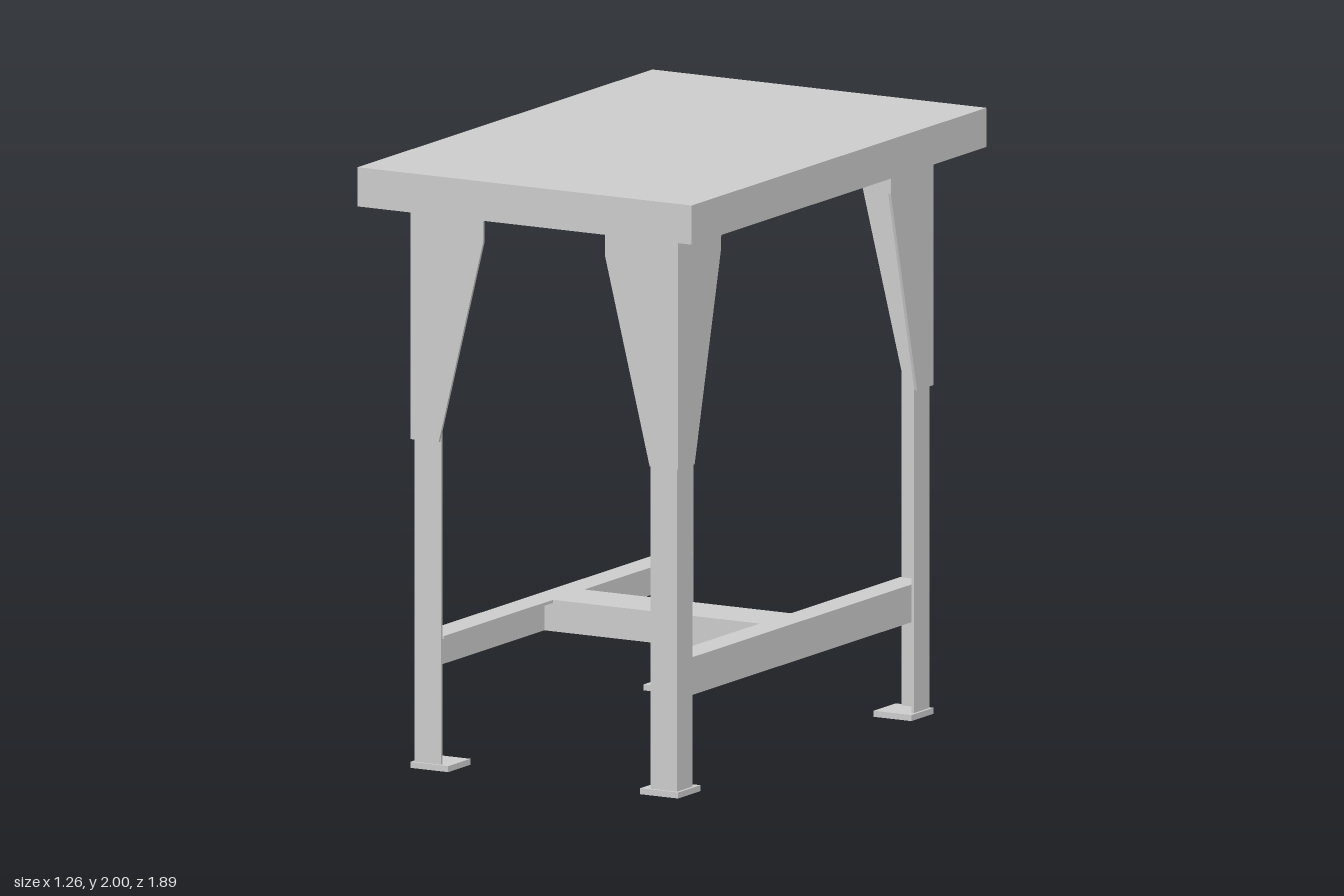
import * as THREE from 'three';

const T = 0.01; // steel sheet thickness
const TOP_Y = 1.87;

export function createModel() {
  const group = new THREE.Group();
  const material = new THREE.MeshStandardMaterial({ color: 0xcccccc, flatShading: true });

  const add = (name, geometry, parent = group) => {
    const mesh = new THREE.Mesh(geometry, material);
    mesh.name = name;
    parent.add(mesh);
    return mesh;
  };

  // Box given by its lower and upper limits on each axis
  const block = (x0, x1, y0, y1, z0, z1) =>
    new THREE.BoxGeometry(x1 - x0, y1 - y0, z1 - z0)
      .translate((x0 + x1) / 2, (y0 + y1) / 2, (z0 + z1) / 2);

  const extrude = (points, depth) =>
    new THREE.ExtrudeGeometry(
      new THREE.Shape(points.map(([x, y]) => new THREE.Vector2(x, y))),
      { depth, bevelEnabled: false });

  // Equal-thickness angle section with its outer corner at the origin
  const angle = (a, b) => [[0, 0], [a, 0], [a, T], [T, T], [T, b], [0, b]];

  // Tapered bracket plate, measured inward from the outer corner of the leg
  const gusset = (inset) => extrude([
    [inset, 1.09], [0.107, 1.09], [0.275, 1.77], [0.275, TOP_Y], [inset, TOP_Y],
  ], T);

  add('tableTop', block(-0.63, 0.63, TOP_Y, 2, -0.945, 0.945));

  // Four corners: angle leg, foot plate and two gusset plates each.
  // Each is built inward from its outer corner, swapping axes on alternate corners.
  const corners = [
    { x: -0.505, z: -0.82, turn: 0 },
    { x: -0.505, z: 0.82, turn: Math.PI / 2 },
    { x: 0.505, z: 0.82, turn: Math.PI },
    { x: 0.505, z: -0.82, turn: -Math.PI / 2 },
  ];
  for (const { x, z, turn } of corners) {
    const corner = new THREE.Group();
    corner.name = 'legAssembly';
    corner.position.set(x, 0, z);
    corner.rotation.y = turn;
    group.add(corner);

    const leg = extrude(angle(0.1, 0.1), 1.37 - 0.02);
    leg.rotateX(Math.PI / 2).translate(T, 1.37, T);
    add('leg', leg, corner);
    add('footPlate', block(0, 0.143, 0, 0.02, 0, 0.143), corner);
    add('endGusset', gusset(0), corner);
    add('sideGusset', gusset(T).rotateY(-Math.PI / 2).translate(T, 0, 0), corner);
  }

  // Long angle rails with the flange on top, turned inward
  for (const side of [0, Math.PI]) {
    const rail = extrude([
      [0.485, 0.32], [0.485, 0.445], [0.39, 0.445], [0.39, 0.435], [0.475, 0.435], [0.475, 0.32],
    ].reverse(), 1.6).translate(0, 0, -0.8);
    add('sideRail', rail).rotation.y = side;
  }

  // T-section cross brace joining the rails
  add('braceFlange', block(-0.39, 0.39, 0.435, 0.445, -0.1, 0.1));
  add('braceWeb', block(-0.475, 0.475, 0.32, 0.435, -T, T));

  return group;
}
